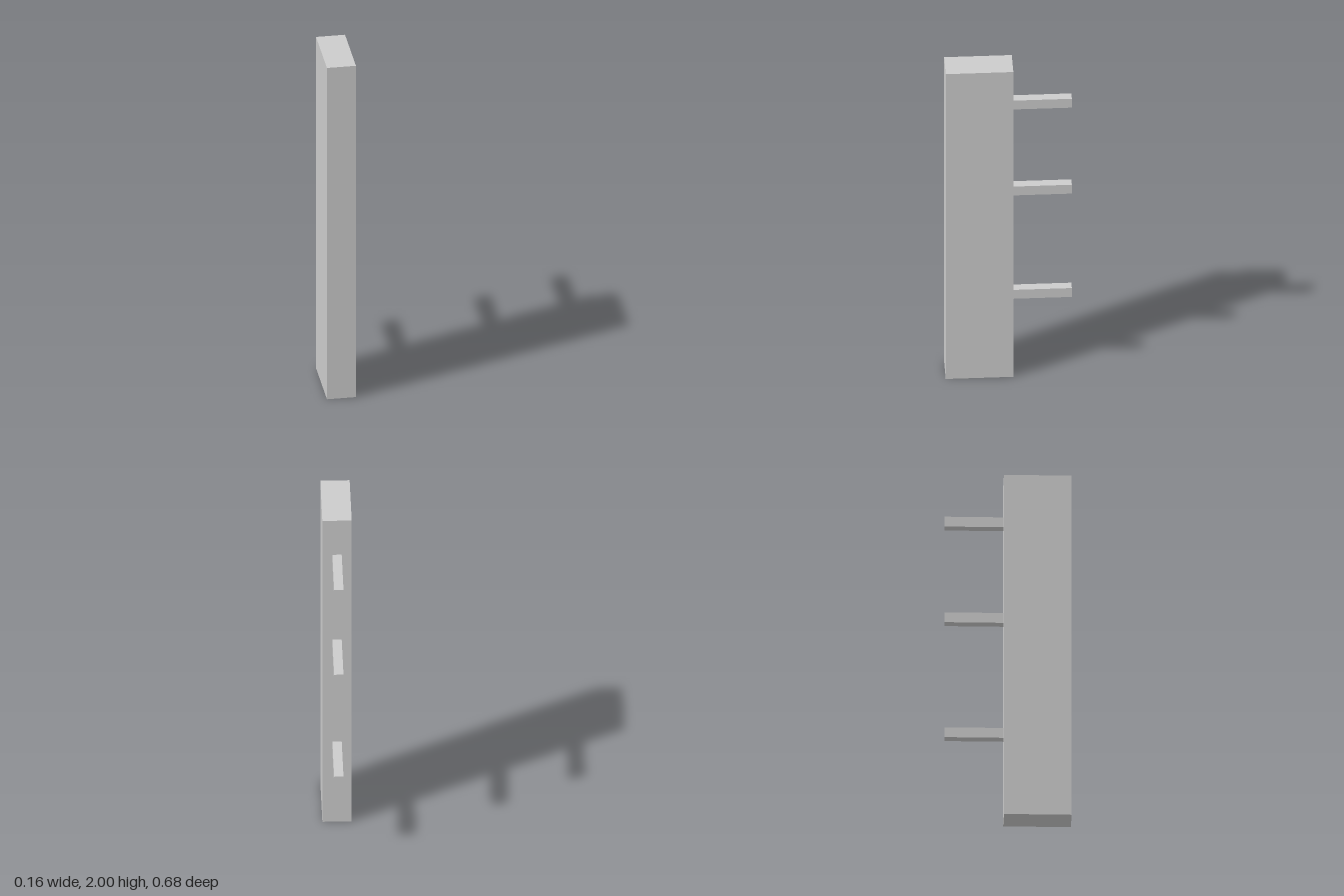
import * as THREE from 'three';

const material = new THREE.MeshStandardMaterial({ color: 0xcccccc, flatShading: true });

function box(name, w, h, d, x, y, z) {
  const mesh = new THREE.Mesh(new THREE.BoxGeometry(w, h, d), material);
  mesh.name = name;
  mesh.position.set(x, y, z);
  return mesh;
}

export function createModel() {
  const group = new THREE.Group();
  group.name = 'postWithPegs';

  const front = 0.339, postBack = -0.023, pegEnd = -0.339;

  // Upright rectangular post
  group.add(box('post', 0.157, 2, front - postBack, 0, 1, (front + postBack) / 2));

  // Three square pegs projecting from the back of the post
  const pegs = [['lowerPeg', 0.503], ['middlePeg', 1.181], ['upperPeg', 1.745]];
  for (const [name, y] of pegs) {
    group.add(box(name, 0.05, 0.058, postBack - pegEnd, 0, y, (postBack + pegEnd) / 2));
  }
  return group;
}
